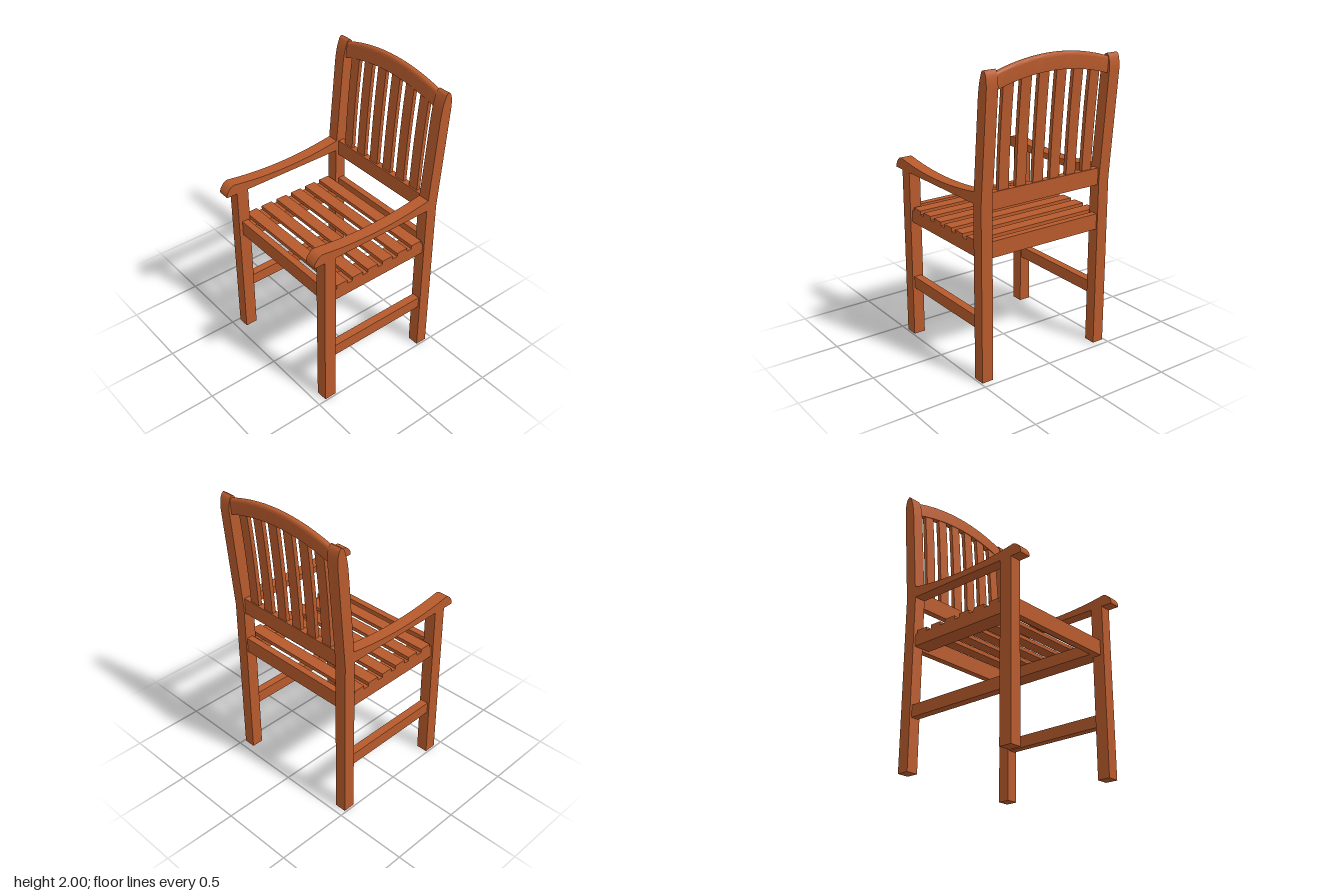
import * as THREE from 'three';
import { toCreasedNormals } from 'three/addons/utils/BufferGeometryUtils.js';

const wood = new THREE.MeshStandardMaterial({ color: 0xb75a2c });

export function createModel() {
  const model = new THREE.Group();
  model.name = 'armchair';

  const add = (name, geometry, x = 0) => {
    const mesh = new THREE.Mesh(geometry, wood);
    mesh.name = name;
    mesh.position.x = x;
    model.add(mesh);
    return mesh;
  };

  // Box given by its minimum and maximum on each axis
  const block = (name, x0, x1, y0, y1, z0, z1) => {
    const mesh = add(name, new THREE.BoxGeometry(x1 - x0, y1 - y0, z1 - z0));
    mesh.position.set((x0 + x1) / 2, (y0 + y1) / 2, (z0 + z1) / 2);
  };

  // Side profile drawn in (z, y), extruded along x and centred on x = 0
  const sideExtrude = (shape, width, steps = 1, curveSegments = 12) =>
    new THREE.ExtrudeGeometry(shape, { depth: width, steps, curveSegments, bevelEnabled: false })
      .translate(0, 0, -width / 2)
      .rotateY(-Math.PI / 2);

  // Back post: straight leg, leaning upper part, rounded top
  const post = new THREE.Shape();
  post.moveTo(-0.455, 0);
  post.lineTo(-0.375, 0);
  post.lineTo(-0.375, 1.15);
  post.lineTo(-0.382, 1.23);
  post.lineTo(-0.43, 1.77);
  post.quadraticCurveTo(-0.44, 1.88, -0.468, 1.938);
  post.quadraticCurveTo(-0.475, 1.95, -0.487, 1.95);
  post.quadraticCurveTo(-0.515, 1.94, -0.515, 1.85);
  post.lineTo(-0.455, 1.15);
  const postGeometry = toCreasedNormals(sideExtrude(post, 0.08), 0.5);

  // Armrest: dipped top and rounded nose
  const arm = new THREE.Shape();
  arm.moveTo(-0.378, 1.15);
  arm.lineTo(0.515, 1.15);
  arm.quadraticCurveTo(0.52, 1.172, 0.502, 1.195);
  arm.quadraticCurveTo(0.482, 1.225, 0.455, 1.226);
  arm.quadraticCurveTo(0.04, 1.155, -0.382, 1.226);
  const armGeometry = toCreasedNormals(sideExtrude(arm, 0.08), 0.5);

  for (const [side, s] of [['left', 1], ['right', -1]]) {
    const mirrored = (name, a, b, ...rest) =>
      block(side + name, Math.min(s * a, s * b), Math.max(s * a, s * b), ...rest);
    add(side + 'BackPost', postGeometry, s * 0.449);
    add(side + 'Armrest', armGeometry, s * 0.449);
    mirrored('FrontLeg', 0.409, 0.489, 0, 1.15, 0.355, 0.44);
    mirrored('SeatRail', 0.355, 0.475, 0.81, 0.89, -0.375, 0.37);
    mirrored('Stretcher', 0.42, 0.475, 0.34, 0.42, -0.375, 0.355);
  }

  // Seat frame and slats
  block('frontApron', -0.41, 0.41, 0.81, 0.915, 0.37, 0.415);
  block('rearApron', -0.41, 0.41, 0.81, 0.915, -0.445, -0.4);
  for (let i = 0; i < 6; i++) {
    const z = 0.295 - i * 0.1225;
    block('seatSlat' + (i + 1), -0.475, 0.475, 0.89, 0.915, z - 0.041, z + 0.041);
  }

  // Backrest: lower rail
  block('lowerBackRail', -0.41, 0.41, 1.11, 1.22, -0.445, -0.4);

  // Backrest: arched top rail with a rounded upper edge
  const drop = (x) => 0.065 * (x / 0.41) ** 2;
  const rail = new THREE.Shape();
  rail.moveTo(-0.498, 1.895);
  rail.lineTo(-0.455, 1.895);
  rail.lineTo(-0.463, 1.975);
  rail.quadraticCurveTo(-0.466, 2, -0.485, 2);
  rail.quadraticCurveTo(-0.505, 2, -0.505, 1.975);
  const railGeometry = sideExtrude(rail, 0.82, 24, 6);
  const p = railGeometry.attributes.position;
  for (let i = 0; i < p.count; i++) p.setY(i, p.getY(i) - drop(p.getX(i)));
  add('topBackRail', toCreasedNormals(railGeometry, 0.6));

  // Backrest: curved vertical slats ending inside the top rail
  for (let i = 0; i < 6; i++) {
    const x = (i - 2.5) * 0.127;
    const top = 1.915 - drop(x);
    const slat = new THREE.Shape();
    slat.moveTo(-0.437, 1.2);
    slat.lineTo(-0.41, 1.2);
    slat.quadraticCurveTo(-0.425, 1.55, -0.463, top);
    slat.lineTo(-0.49, top);
    slat.quadraticCurveTo(-0.452, 1.55, -0.437, 1.2);
    add('backSlat' + (i + 1), toCreasedNormals(sideExtrude(slat, 0.073), 0.5), x);
  }

  return model;
}
